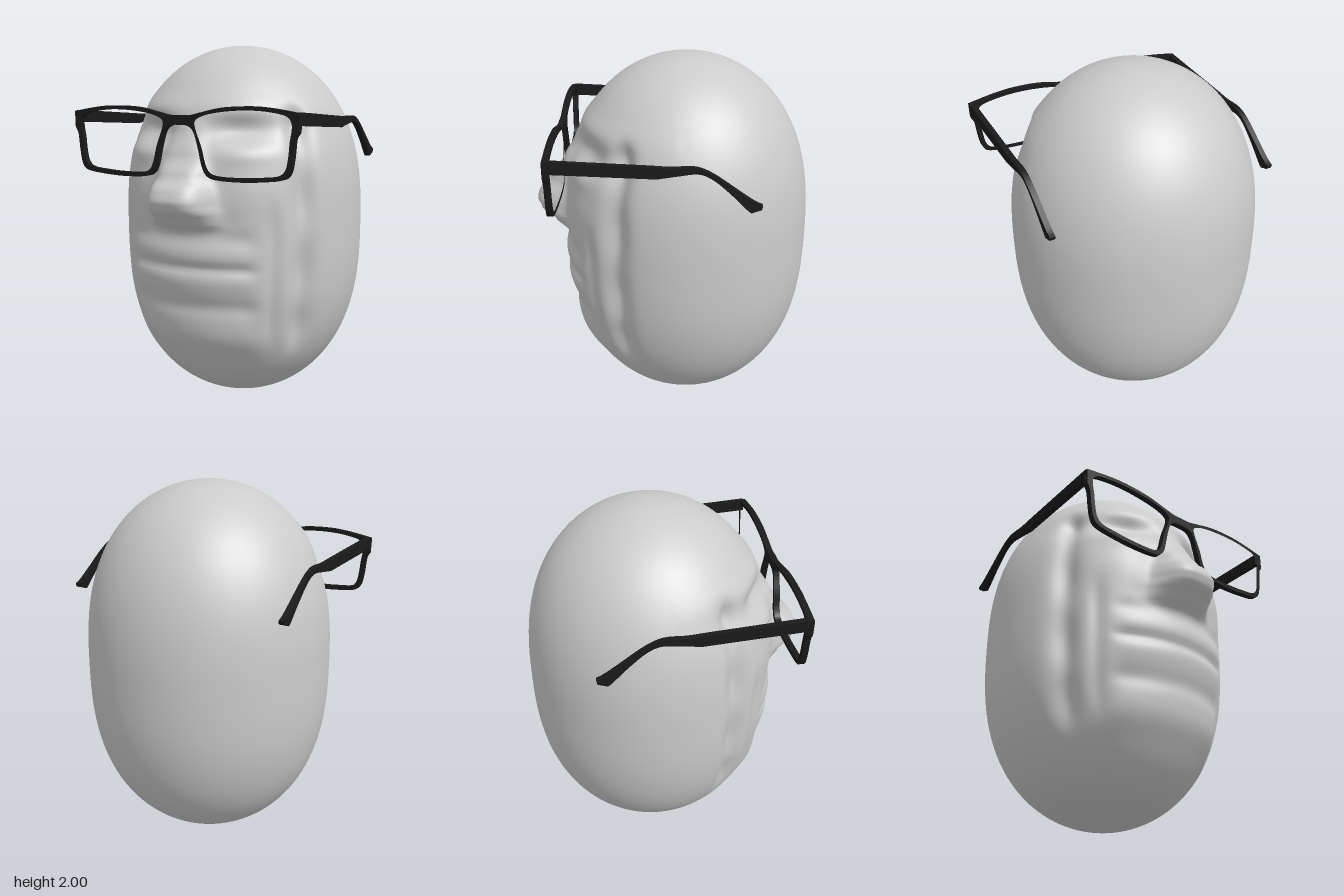
import * as THREE from 'three';
import { mergeVertices } from 'three/addons/utils/BufferGeometryUtils.js';

const bump = (v, c, w) => Math.exp(-(((v - c) / w) ** 2));
const step = (a, b, v) => THREE.MathUtils.smoothstep(v, a, b);

// Smooth interpolation through [y, value] pairs
function track(pairs) {
  return (y) => {
    if (y <= pairs[0][0]) return pairs[0][1];
    for (let i = 1; i < pairs.length; i++) {
      const [y0, v0] = pairs[i - 1], [y1, v1] = pairs[i];
      if (y <= y1) return v0 + (v1 - v0) * step(y0, y1, y);
    }
    return pairs[pairs.length - 1][1];
  };
}

const noseHeight = track([[1.03, 0], [1.1, 0.075], [1.15, 0.14], [1.2, 0.162],
  [1.25, 0.145], [1.32, 0.085], [1.42, 0.035], [1.55, 0.01], [1.62, 0]]);
const noseWidth = track([[1.05, 0.2], [1.2, 0.155], [1.35, 0.13], [1.5, 0.1]]);

// Outward offset of the face at height y and angle a from the front
function relief(a, x, y) {
  const ax = Math.abs(x), deg = Math.abs(a) * 180 / Math.PI;
  let d = noseHeight(y) * Math.exp(-((ax / noseWidth(y)) ** 4));
  // hollow running down each side of the face
  const side = step(0.3, 0.6, y) * (1 - step(1.55, 1.72, y));
  d -= (0.05 + 0.008 * Math.sin(y * 17)) * side * bump(deg, 56, 6);
  // groove beside the mouth and cheek
  d -= 0.016 * bump(deg, 41, 3.5) * step(0.4, 0.6, y) * (1 - step(1.0, 1.25, y));
  // eye sockets, eyeballs and brow
  d -= 0.06 * bump(ax, 0.27, 0.17) * bump(y, 1.54, 0.075);
  d += 0.02 * bump(ax, 0.29, 0.13) * bump(y, 1.44, 0.06);
  d += 0.015 * bump(ax, 0.2, 0.25) * bump(y, 1.66, 0.06);
  // cheeks
  d += 0.012 * bump(ax, 0.33, 0.12) * bump(y, 1.25, 0.15);
  d -= 0.015 * bump(ax, 0.2, 0.08) * bump(y, 1.08, 0.06);
  // lips and chin
  const mouth = 1 - step(0.3, 0.42, ax);
  d += mouth * (0.008 * bump(y, 0.91, 0.05) - 0.016 * bump(y, 0.84, 0.025)
    + 0.008 * bump(y, 0.77, 0.05) - 0.016 * bump(y, 0.63, 0.05)
    - 0.01 * bump(y, 1.0, 0.04) + 0.016 * bump(y, 0.45, 0.09));
  return d;
}

function makeHead(material) {
  const geo = new THREE.SphereGeometry(1, 200, 150);
  const pos = geo.attributes.position, uv = geo.attributes.uv;
  for (let i = 0; i < pos.count; i++) {
    const c = pos.getY(i), y = 1 + c;
    const t = (uv.getX(i) * 2 - 1) * Math.PI;
    const a = t - 0.5 * Math.sin(t); // denser toward the face
    let r = 0.68 * Math.sqrt(Math.max(0, 1 - Math.abs(c) ** 2.6));
    if (Math.abs(a) < 1.5 && r > 0.05) r += relief(a, r * Math.sin(a), y);
    pos.setXYZ(i, r * Math.sin(a), y, r * Math.cos(a) - 0.08);
  }
  geo.deleteAttribute('uv');
  geo.deleteAttribute('normal');
  const smooth = mergeVertices(geo, 1e-5);
  smooth.computeVertexNormals();
  const head = new THREE.Mesh(smooth, material);
  head.name = 'head';
  return head;
}

const vecs = (list) => list.map(([x, y]) => new THREE.Vector2(x, y));
const flip = (list) => list.map(([x, y]) => [-x, y]);

function makeGlasses(material) {
  const glasses = new THREE.Group();
  glasses.name = 'glasses';

  // Half outline of the front, listed from bridge to hinge and back
  const top = [[0, 1.625], [0.06, 1.625], [0.13, 1.64], [0.25, 1.664], [0.4, 1.671], [0.52, 1.662], [0.66, 1.64]];
  const under = [[0.658, 1.555], [0.64, 1.52], [0.63, 1.43], [0.615, 1.36], [0.58, 1.327], [0.48, 1.312],
    [0.35, 1.304], [0.22, 1.308], [0.165, 1.325], [0.135, 1.37], [0.11, 1.47], [0.085, 1.545], [0.05, 1.573], [0, 1.577]];
  const outline = new THREE.Shape();
  outline.moveTo(0, 1.625);
  outline.splineThru(vecs(top.slice(1)));
  outline.splineThru(vecs(under));
  outline.splineThru(vecs(flip(under).reverse().slice(1)));
  outline.lineTo(-0.66, 1.64);
  outline.splineThru(vecs(flip(top).reverse().slice(1)));

  const lens = [[0.095, 1.595], [0.14, 1.622], [0.25, 1.643], [0.4, 1.651], [0.52, 1.642], [0.6, 1.622],
    [0.622, 1.59], [0.612, 1.5], [0.605, 1.43], [0.592, 1.375], [0.565, 1.348], [0.47, 1.334],
    [0.35, 1.327], [0.22, 1.331], [0.18, 1.345], [0.158, 1.38], [0.133, 1.47], [0.1, 1.555]];
  for (const pts of [lens, flip(lens)]) {
    const curve = new THREE.CatmullRomCurve3(pts.map(([x, y]) => new THREE.Vector3(x, y, 0)), true);
    outline.holes.push(new THREE.Path(curve.getPoints(70).slice(0, -1).map((p) => new THREE.Vector2(p.x, p.y))));
  }
  const frontGeo = new THREE.ExtrudeGeometry(outline, { depth: 0.032, bevelEnabled: false, curveSegments: 5 });
  frontGeo.translate(0, 0, 0.584);
  const frame = new THREE.Mesh(frontGeo, material);
  frame.name = 'glassesFrame';
  glasses.add(frame);

  // Temple arm profile, drawn with x pointing to the back
  const arm = new THREE.Shape();
  arm.moveTo(-0.6, 1.645);
  arm.lineTo(-0.1, 1.618);
  arm.splineThru(vecs([[0, 1.612], [0.09, 1.616], [0.15, 1.603], [0.22, 1.565], [0.32, 1.493], [0.4, 1.437], [0.44, 1.418]]));
  arm.lineTo(0.435, 1.398);
  arm.lineTo(0.385, 1.38);
  arm.splineThru(vecs([[0.36, 1.402], [0.28, 1.483], [0.2, 1.552], [0.13, 1.583], [0.04, 1.575], [-0.07, 1.558]]));
  arm.lineTo(-0.6, 1.582);
  const armGeo = new THREE.ExtrudeGeometry(arm, { depth: 0.03, bevelEnabled: false, curveSegments: 6 });
  armGeo.rotateY(Math.PI / 2);
  for (const [name, x] of [['leftTemple', 0.63], ['rightTemple', -0.66]]) {
    const temple = new THREE.Mesh(armGeo, material);
    temple.name = name;
    temple.position.x = x;
    glasses.add(temple);
  }
  return glasses;
}

export function createModel() {
  const model = new THREE.Group();
  model.name = 'headWithGlasses';
  model.add(makeHead(new THREE.MeshStandardMaterial({ color: 0xcccccc })));
  model.add(makeGlasses(new THREE.MeshStandardMaterial({ color: 0x1a1a1a })));
  return model;
}
